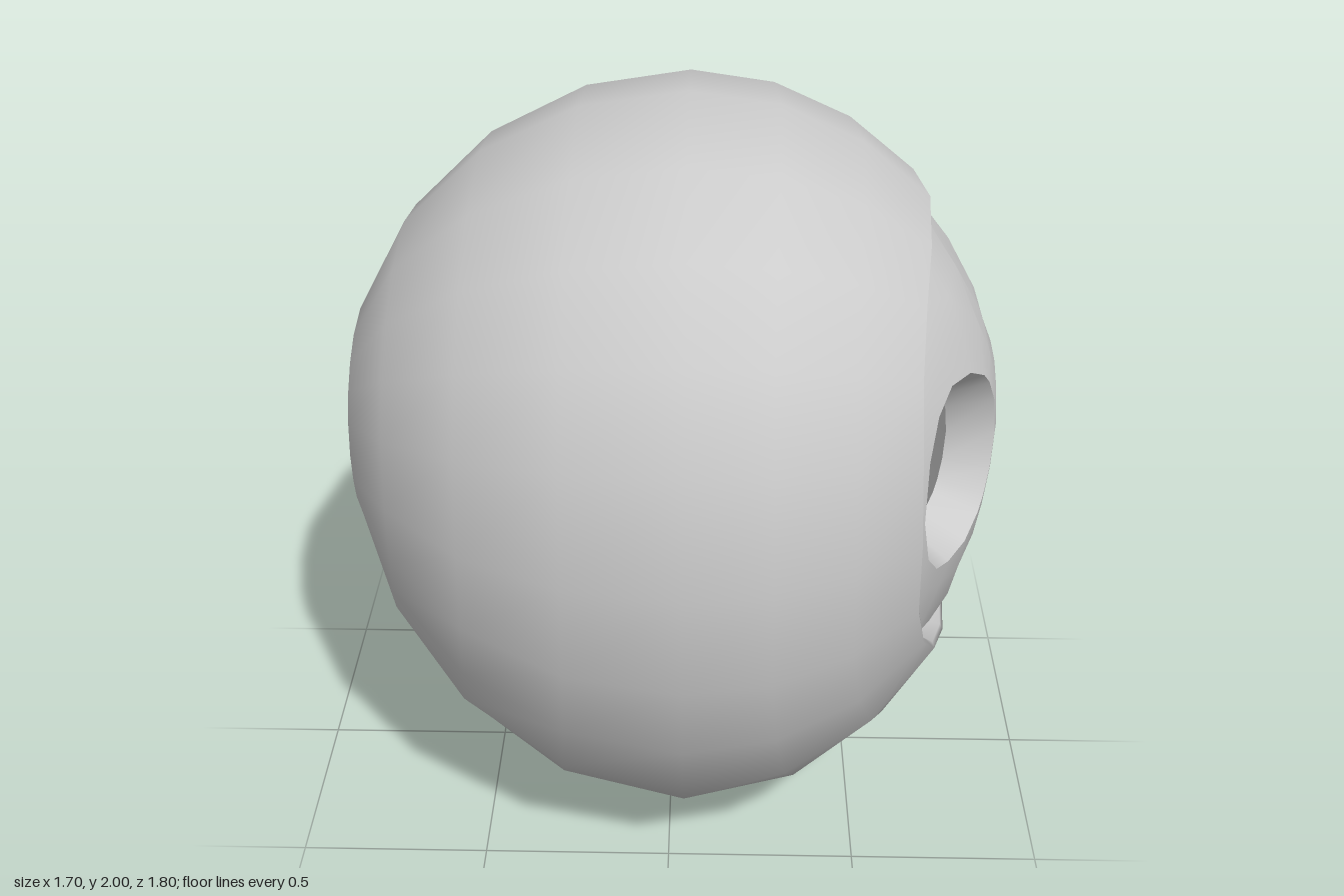
import * as THREE from 'three';
import { mergeGeometries, mergeVertices } from 'three/addons/utils/BufferGeometryUtils.js';

const SIDES = 20;
const C = new THREE.Vector3(0.04, 1.13, 0); // middle of the egg
const EYE = { z: 0.36, y: 0.025, rz: 0.21, ry: 0.255 }; // y measured from C
const LINING = 0.85; // inner wall size relative to the outer wall

// All points below are measured from C.
const v = (x, y, z) => new THREE.Vector3(x, y, z);

// Egg surface: half ellipsoids with different radii front/back and up/down
function eggAlong(d) {
  const r = Math.hypot(d.x / (d.x > 0 ? 0.83 : 0.895), d.y / (d.y > 0 ? 0.87 : 1.13), d.z / 0.9);
  return d.clone().divideScalar(r);
}
const eggX = (y, z) => 0.83 * Math.sqrt(Math.max(0, 1 - (y / (y > 0 ? 0.87 : 1.13)) ** 2 - (z / 0.9) ** 2));

// Face plate: the egg surface, set back more towards its edge
function facePoint(y, z) {
  const side = Math.min(1, (z / 0.4) ** 2), tall = Math.min(1, (y / 0.55) ** 2);
  return v(eggX(y, z) - 0.02 - 0.05 * Math.max(side, 0.6 * tall), y, z);
}

// Rounded outline of the face plate
function rim(a, k = 1) {
  const c = Math.cos(a), s = Math.sin(a), e = 2 / 2.3;
  const y = Math.sign(s) * Math.abs(s) ** e * (s > 0 ? 0.58 : 0.55);
  const z = Math.abs(c) < 1e-9 ? 0 : Math.sign(c) * Math.abs(c) ** e * 0.64;
  return { y: y * k, z: z * k };
}

// Joins closed rows of points into a surface
function loft(rows, flip = false) {
  const n = rows[0].length, pos = [], idx = [];
  rows.flat().forEach((p) => pos.push(p.x + C.x, p.y + C.y, p.z + C.z));
  for (let i = 0; i < rows.length - 1; i++) {
    for (let j = 0; j < n; j++) {
      const a = i * n + j, d = i * n + ((j + 1) % n), b = a + n, c = d + n;
      if (flip) idx.push(a, b, d, d, b, c);
      else idx.push(a, d, b, d, c, b);
    }
  }
  const g = new THREE.BufferGeometry();
  g.setAttribute('position', new THREE.Float32BufferAttribute(pos, 3));
  g.setIndex(idx);
  return g;
}

function smooth(geometries) {
  const g = mergeVertices(mergeGeometries(geometries), 1e-4);
  g.computeVertexNormals();
  return g;
}

const scaled = (rows, k) => rows.map((row) => row.map((p) => p.clone().multiplyScalar(k)));
const mirrored = (rows) => rows.map((row) => row.map((p) => v(p.x, p.y, -p.z)));
const bothSides = (rows, flip) => smooth([loft(rows, flip), loft(mirrored(rows), !flip)]);

// Rows from the recessed rim, over its bevel and round to the back pole
function shellRows() {
  const angles = Array.from({ length: SIDES }, (_, j) => (j / SIDES) * Math.PI * 2);
  const rows = [
    angles.map((a) => { const r = rim(a); return facePoint(r.y, r.z); }),
    angles.map((a) => { const r = rim(a, 1.015); return v(eggX(r.y, r.z) - 0.015, r.y, r.z); }),
  ];
  const starts = angles.map((a) => { const r = rim(a, 1.04); return v(eggX(r.y, r.z), r.y, r.z); });
  for (let i = 0; i <= 8; i++) {
    rows.push(starts.map((p) => {
      const across = Math.hypot(p.y, p.z), t0 = Math.atan2(across, p.x), h = Math.PI / 2;
      const t = i <= 3 ? t0 + (h - t0) * (i / 3) : h + h * ((i - 3) / 5);
      const s = i === 8 ? 0 : Math.sin(t) / across;
      return eggAlong(v(Math.cos(t), p.y * s, p.z * s));
    }));
  }
  return rows;
}

// Half of the face plate: rows from the eye hole out to the rim and centre line
function faceRows(holeScale) {
  const outline = [];
  for (let j = 0; j <= SIDES / 2; j++) outline.push(rim(-Math.PI / 2 + (j / SIDES) * Math.PI * 2));
  for (let j = 1; j < 6; j++) outline.push({ y: 0.58 - (1.13 * j) / 6, z: 0 });
  return [0, 0.3, 0.65, 1].map((t) => outline.map((o) => {
    const a = Math.atan2((o.y - EYE.y) / EYE.ry, (o.z - EYE.z) / EYE.rz);
    const y = EYE.y + Math.sin(a) * EYE.ry * holeScale;
    const z = EYE.z + Math.cos(a) * EYE.rz * holeScale;
    return facePoint(y + (o.y - y) * t, z + (o.z - z) * t);
  }));
}

export function createModel() {
  const group = new THREE.Group();
  const material = new THREE.MeshStandardMaterial({ color: 0xcccccc });
  const add = (name, geometry) => {
    const mesh = new THREE.Mesh(geometry, material);
    mesh.name = name;
    group.add(mesh);
  };

  const shell = shellRows();
  const face = faceRows(1);
  const innerFace = scaled(faceRows(0.88), LINING);

  // Outer walls
  add('headShell', smooth([loft(shell)]));
  add('facePlate', bothSides(face, false));
  // Walls of the eye holes, narrowing inwards
  add('eyeSockets', bothSides([innerFace[0], face[0]], false));
  // Inner walls, facing the hollow
  add('shellLining', smooth([loft(scaled(shell, LINING), true)]));
  add('faceLining', bothSides(innerFace, true));
  return group;
}
